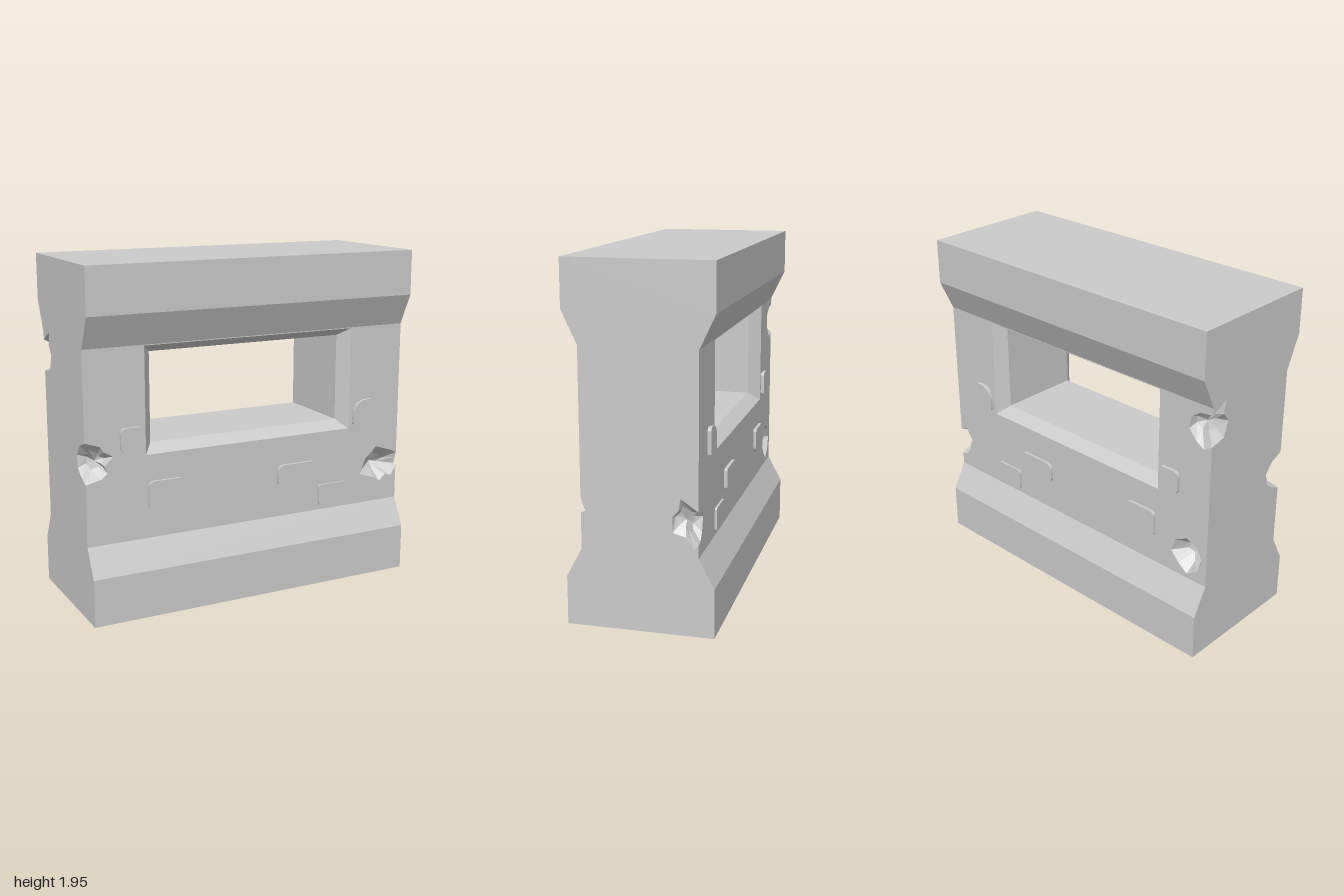
import * as THREE from 'three';

const D = 0.315;   // half thickness of the wall between plinth and coping
const DEEP = 0.4;  // half thickness of plinth and coping
const LOW = 0.43, HIGH = 1.51, TOP = 1.95;

// Corner chips. face: [x, y] on the front or back, end: [z, y] on the wall end.
// Both run from the upper to the lower point on the shared vertical edge.
const cornerChips = [
  { sx: -1, sz: 1, deep: [-0.92, 0.89, 0.24],
    face: [[-1, 1.01], [-0.91, 0.98], [-0.895, 0.95], [-0.84, 0.92], [-0.89, 0.87], [-0.875, 0.83], [-0.91, 0.8], [-1, 0.78]],
    end: [[D, 1.01], [0.24, 0.98], [0.19, 0.92], [0.2, 0.85], [0.25, 0.81], [D, 0.78]] },
  { sx: 1, sz: 1, deep: [0.88, 0.65, 0.2],
    face: [[1, 0.715], [0.96, 0.735], [0.85, 0.77], [0.815, 0.73], [0.775, 0.7], [0.74, 0.61], [0.84, 0.575], [0.88, 0.55], [0.925, 0.585], [0.965, 0.575], [1, 0.63]],
    end: [[D, 0.715], [0.305, 0.68], [0.29, 0.64], [D, 0.63]] },
  { sx: -1, sz: -1, deep: [-0.91, 1.39, -0.24],
    face: [[-1, 1.47], [-0.92, 1.46], [-0.86, 1.42], [-0.85, 1.35], [-0.9, 1.29], [-0.95, 1.26], [-1, 1.29]],
    end: [[-D, 1.47], [-0.21, 1.53], [-0.23, 1.45], [-0.19, 1.4], [-0.22, 1.31], [-D, 1.29]] },
  { sx: 1, sz: -1, deep: [0.94, 0.62, -0.24],
    face: [[1, 0.68], [0.95, 0.7], [0.9, 0.63], [0.925, 0.55], [0.96, 0.51], [1, 0.5]],
    end: [[-D, 0.68], [-0.22, 0.745], [-0.21, 0.68], [-0.175, 0.64], [-0.18, 0.56], [-0.25, 0.54], [-0.29, 0.48], [-D, 0.5]] },
];

// Chip lying wholly inside the back face
const backChip = {
  deep: [-0.87, 0.57, -0.21],
  face: [[-0.97, 0.58], [-0.93, 0.65], [-0.86, 0.68], [-0.78, 0.64], [-0.755, 0.56], [-0.81, 0.5], [-0.87, 0.455], [-0.94, 0.5]],
};

// Raised stones: x0, x1, y0, y1, relief, corner radii (lower left, lower right, upper right, upper left)
const stones = [
  [-0.8, -0.67, 0.93, 1.07, 0.02, [0.04, 0.015, 0.02, 0.035]],
  [-0.64, -0.44, 0.605, 0.755, 0.018, [0.015, 0.05, 0.02, 0.035]],
  [0.165, 0.405, 0.625, 0.74, 0.018, [0.02, 0.01, 0.015, 0.05]],
  [0.445, 0.635, 0.455, 0.585, 0.012, [0.035, 0.015, 0.015, 0.02]],
  [0.675, 0.81, 0.925, 1.075, 0.02, [0.015, 0.01, 0.025, 0.1]],
];

const toV2 = (pts) => pts.map(([a, b]) => new THREE.Vector2(a, b));
const reversed = (pts) => [...pts].reverse();

// Flat-shaded surface through successive rows of 3D points
function loft(rows) {
  const pos = [];
  for (let r = 0; r < rows.length - 1; r++) {
    const A = rows[r], B = rows[r + 1];
    for (let i = 0; i < A.length - 1; i++) {
      pos.push(...A[i], ...B[i], ...B[i + 1], ...A[i], ...B[i + 1], ...A[i + 1]);
    }
  }
  const g = new THREE.BufferGeometry();
  g.setAttribute('position', new THREE.Float32BufferAttribute(pos, 3));
  g.computeVertexNormals();
  return g;
}

// Flat polygon with holes, placed in space by a mapping
function flatFace(contour, holes, map, flip) {
  const shape = new THREE.Shape(toV2(contour));
  holes.forEach((h) => shape.holes.push(new THREE.Path(toV2(h))));
  const g = new THREE.ShapeGeometry(shape).toNonIndexed();
  const p = g.attributes.position;
  const pts = [];
  for (let i = 0; i < p.count; i++) pts.push(map(p.getX(i), p.getY(i)));
  for (let i = 0; i < p.count; i += 3) {
    const tri = flip ? [0, 2, 1] : [0, 1, 2];
    tri.forEach((k, j) => p.setXYZ(i + j, ...pts[i + k]));
  }
  g.computeVertexNormals();
  return g;
}

// Faceted hollow from a rim loop down to its deepest point
function hollow(rimPts, deepPt, seed) {
  const rnd = () => (seed = (seed * 16807) % 2147483647) / 2147483647;
  const deep = new THREE.Vector3(...deepPt);
  let rim = rimPts.map((p) => new THREE.Vector3(...p));
  const mid = new THREE.Vector3();
  rim.forEach((p) => mid.addScaledVector(p, 1 / rim.length));
  const out = mid.clone().sub(deep).normalize();
  // Wind the rim so the hollow faces outward
  const area = new THREE.Vector3();
  rim.forEach((p, i) => {
    const q = rim[(i + 1) % rim.length];
    area.add(p.clone().sub(mid).cross(q.clone().sub(mid)));
  });
  if (area.dot(out) > 0) rim = rim.reverse();
  const ring = rim.map((p) => p.clone().lerp(deep, 0.38 + 0.25 * rnd())
    .addScaledVector(out, -0.005 - 0.025 * rnd()));
  const close = (r) => [...r, r[0]].map((v) => v.toArray());
  return loft([close(rim), close(ring), close(rim.map(() => deep))]);
}

// Rectangle with a different radius at each corner
function stoneShape(x0, x1, y0, y1, [a, b, c, d]) {
  const s = new THREE.Shape();
  s.moveTo(x0 + a, y0);
  s.lineTo(x1 - b, y0).quadraticCurveTo(x1, y0, x1, y0 + b);
  s.lineTo(x1, y1 - c).quadraticCurveTo(x1, y1, x1 - c, y1);
  s.lineTo(x0 + d, y1).quadraticCurveTo(x0, y1, x0, y1 - d);
  s.lineTo(x0, y0 + a).quadraticCurveTo(x0, y0, x0 + a, y0);
  return s;
}

export function createModel() {
  const stone = new THREE.MeshStandardMaterial({ color: 0xcacaca });
  stone.name = 'grey stone';
  const model = new THREE.Group();
  model.name = 'wallWithWindow';
  const add = (name, geometry) => {
    const m = new THREE.Mesh(geometry, stone);
    m.name = name;
    model.add(m);
    return m;
  };
  const chip = (sx, sz) => cornerChips.find((c) => c.sx === sx && c.sz === sz);

  // Plinth and coping, swept along x
  const baseProfile = [[-D, LOW], [-DEEP, 0.27], [-DEEP, 0], [DEEP, 0], [DEEP, 0.27], [D, LOW]];
  const capProfile = [[D, HIGH], [DEEP, 1.69], [DEEP, TOP], [-DEEP, TOP], [-DEEP, 1.69], [-D, HIGH]];
  const sweep = (profile) => loft([-1, 1].map((x) => profile.map(([z, y]) => [x, y, z])));
  add('plinth', sweep(baseProfile));
  add('coping', sweep(capProfile));

  // Window reveal with splayed edges on both sides
  const rect = (w, y0, y1, z) => [[w, y0, z], [-w, y0, z], [-w, y1, z], [w, y1, z], [w, y0, z]];
  const outer = (z) => rect(0.65, 0.905, 1.505, z);
  const inner = (z) => rect(0.595, 0.955, 1.46, z);
  add('windowReveal', loft([outer(D), inner(0.245), inner(-0.245), outer(-D)]));

  // Front and back faces, notched at the chipped edges
  const windowHole = outer(0).slice(0, 4);
  for (const sz of [1, -1]) {
    const contour = [[-1, LOW], [1, LOW], ...reversed(chip(1, sz).face),
      [1, HIGH], [-1, HIGH], ...chip(-1, sz).face];
    const holes = sz > 0 ? [windowHole] : [windowHole, backChip.face];
    add(sz > 0 ? 'frontFace' : 'backFace',
      flatFace(contour, holes, (x, y) => [x, y, sz * D], sz < 0));
  }

  // End faces, notched on both edges
  for (const sx of [1, -1]) {
    const contour = [...baseProfile, ...reversed(chip(sx, 1).end),
      ...capProfile, ...chip(sx, -1).end];
    add(sx > 0 ? 'leftEnd' : 'rightEnd',
      flatFace(contour, [], (z, y) => [sx, y, z], sx > 0));
  }

  // Broken hollows
  cornerChips.forEach((c, i) => {
    const rim = [...c.face.map(([x, y]) => [x, y, c.sz * D]),
      ...reversed(c.end).slice(1, -1).map(([z, y]) => [c.sx, y, z])];
    add('cornerChip' + (i + 1), hollow(rim, c.deep, 71 + i * 977));
  });
  add('backChip', hollow(backChip.face.map(([x, y]) => [x, y, -D]), backChip.deep, 4242));

  // Raised stones, mirrored front to back
  const sunk = 0.01;
  stones.forEach(([x0, x1, y0, y1, relief, radii], i) => {
    for (const sz of [1, -1]) {
      const g = new THREE.ExtrudeGeometry(stoneShape(x0, x1, y0, y1, radii),
        { depth: relief + sunk, bevelEnabled: false, curveSegments: 5 });
      g.translate(0, 0, sz > 0 ? D - sunk : -D - relief);
      add((sz > 0 ? 'frontStone' : 'backStone') + (i + 1), g);
    }
  });

  return model;
}
